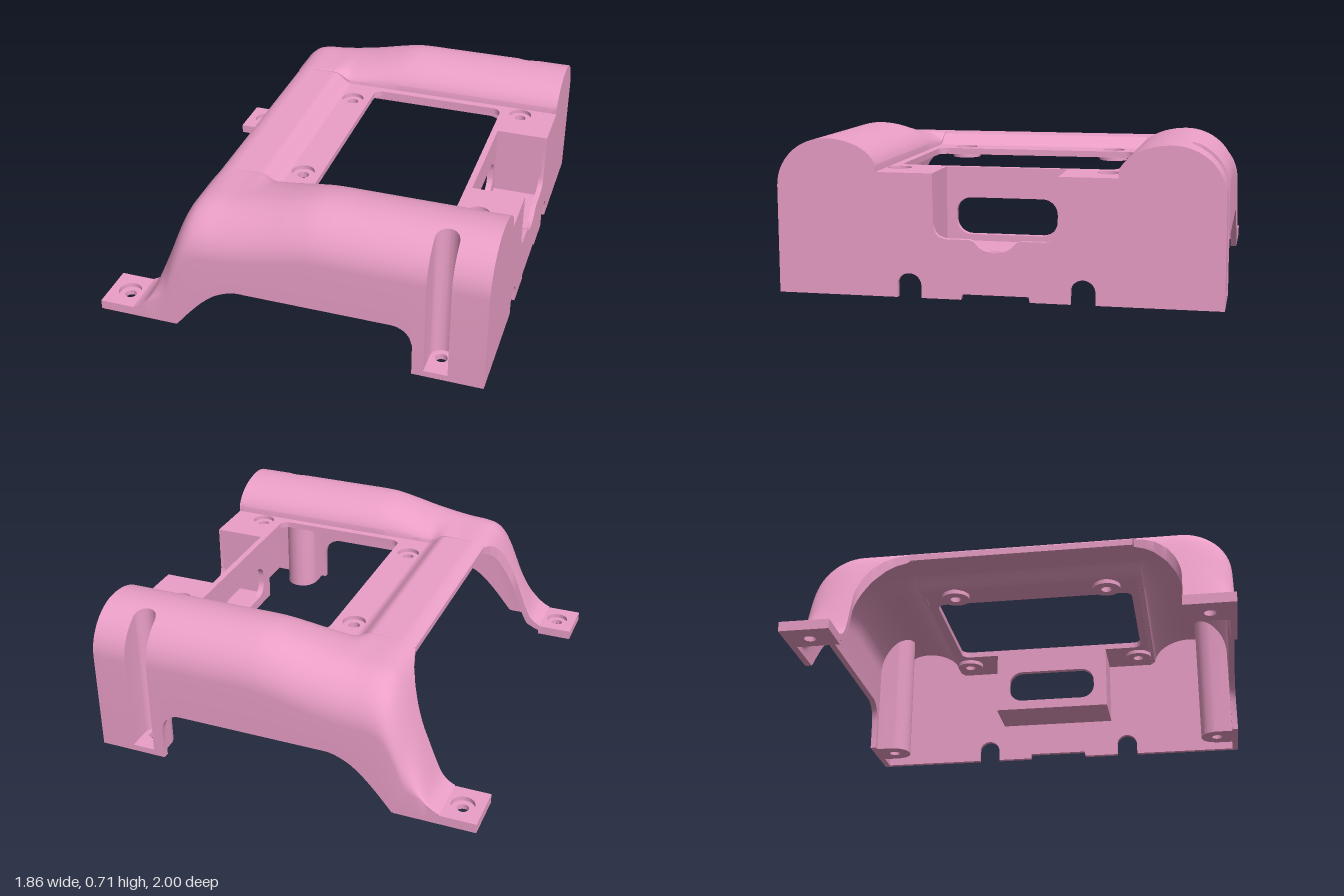
import * as THREE from 'three';
import { toCreasedNormals } from 'three/addons/utils/BufferGeometryUtils.js';

const material = new THREE.MeshStandardMaterial({ color: 0xeb9fc7, side: THREE.DoubleSide });
const DECK = 0.56, WALL = 0.03, CREST = 0.77;
const { smoothstep, lerp } = THREE.MathUtils;

// Clamped linear lookup through [x, y] pairs
const table = (pts) => (x) => {
  if (x <= pts[0][0]) return pts[0][1];
  for (let i = 1; i < pts.length; i++) {
    const [x0, y0] = pts[i - 1], [x1, y1] = pts[i];
    if (x <= x1) return lerp(y0, y1, (x - x0) / (x1 - x0));
  }
  return pts[pts.length - 1][1];
};
const smoothTable = (pts) =>
  table(new THREE.SplineCurve(pts.map((p) => new THREE.Vector2(...p))).getPoints(160).map((p) => [p.x, p.y]));

// Rail crest, deck level, lower edge and inner limit along x
const crest = smoothTable([[-0.84, 0.045], [-0.77, 0.048], [-0.72, 0.075], [-0.68, 0.135], [-0.6, 0.34], [-0.53, 0.51],
  [-0.48, 0.585], [-0.42, 0.612], [-0.31, 0.622], [-0.2, 0.638], [-0.1, 0.657], [0, 0.68], [0.1, 0.7], [0.18, 0.705], [0.27, 0.705]]);
const deckLevel = (x) => lerp(Math.min(crest(x), 0.612), DECK, smoothstep(x, -0.27, -0.18));
const lowerCurve = smoothTable([[-0.54, 0], [-0.47, 0.085], [-0.4, 0.16], [-0.33, 0.215], [-0.25, 0.247], [-0.18, 0.25]]);
const lowerEdge = (x) => {
  if (x > 0.6) return 0;
  return x > 0.5 ? 0.15 + Math.sqrt(Math.max(0, 0.01 - (x - 0.5) ** 2)) : lowerCurve(x);
};
const innerLimit = table([[-0.6, 0.77], [-0.57, 0.75], [-0.54, 0.71], [-0.51, 0.645], [-0.49, 0.585], [-0.48, 0.54]]);

// Outer limit of the rail, dented by the round side groove
const outerLimit = (x, r, limit) => {
  const d = Math.abs(x - 0.71);
  return d < r ? 0.89 - Math.sqrt(r * r - d * d) : limit;
};

// Height of the rail skin at (x, z); inset gives its inside face
function railHeight(x, z, inset = 0) {
  const slope = (crest(x + 0.01) - crest(x - 0.01)) / 0.02;
  const drop = inset * Math.sqrt(1 + slope * slope);
  const top = crest(x);
  const base = z > CREST ? top - 0.22 * smoothstep(top, 0.05, 0.4) : deckLevel(x);
  const t = Math.min(1, Math.abs(z - CREST) / ((z > CREST ? 0.23 : 0.235) - inset));
  return base + (top - base) * Math.sqrt(1 - t * t) - drop;
}

// Closed cross-section of the rail at x
function railSection(x) {
  const skin = (inset, r, limit) => {
    const zo = outerLimit(x, r, limit), zi = innerLimit(x), out = [[zo, lowerEdge(x)]];
    for (let i = 0; i <= 28; i++) {
      const a = (i / 28) * Math.PI;
      const raw = CREST + Math.cos(a) * ((i < 14 ? 0.23 : 0.235) - inset);
      const z = i === 28 ? zi : Math.max(zi, Math.min(zo, raw));
      out.push([z, Math.max(lowerEdge(x), 0, railHeight(x, z, inset))]);
    }
    return out;
  };
  return [...skin(0, 0.055, 1), ...skin(WALL, 0.055 + WALL, 1 - WALL).reverse()];
}

function railGeometry(side) {
  const xs = [];
  for (let i = 0; i <= 120; i++) xs.push(lerp(-0.76, 0.906, i / 120));
  for (const x of [0.6, 0.655, 0.765, 0.625, 0.795]) xs.push(x - 0.0003, x + 0.0003);
  for (let i = 0; i <= 12; i++) xs.push(0.71 - 0.0545 * Math.cos((i / 12) * Math.PI));
  xs.sort((a, b) => a - b);
  const pos = [], index = [], n = railSection(0).length;
  for (const x of xs) for (const [z, y] of railSection(x)) pos.push(x, y, z * side);
  for (let i = 0; i < xs.length - 1; i++) for (let j = 0; j < n; j++) {
    const a = i * n + j, b = i * n + (j + 1) % n, c = b + n, d = a + n;
    if (side > 0) index.push(a, d, c, a, c, b);
    else index.push(a, c, d, a, b, c);
  }
  const g = new THREE.BufferGeometry();
  g.setAttribute('position', new THREE.Float32BufferAttribute(pos, 3));
  g.setIndex(index);
  return toCreasedNormals(g, 0.6);
}

// Shape helpers
const polygon = (pts) => new THREE.Shape(pts.map((p) => new THREE.Vector2(...p)));
const rect = (x0, y0, x1, y1) => polygon([[x0, y0], [x1, y0], [x1, y1], [x0, y1]]);
const circle = (x, y, r) => new THREE.Path().absarc(x, y, r, 0, Math.PI * 2);
function roundRect(x0, y0, x1, y1, r) {
  const p = new THREE.Path();
  p.absarc(x1 - r, y1 - r, r, 0, Math.PI / 2);
  p.absarc(x0 + r, y1 - r, r, Math.PI / 2, Math.PI);
  p.absarc(x0 + r, y0 + r, r, Math.PI, Math.PI * 1.5);
  p.absarc(x1 - r, y0 + r, r, Math.PI * 1.5, Math.PI * 2);
  return p;
}
const extrude = (shape, depth) =>
  toCreasedNormals(new THREE.ExtrudeGeometry(shape, { depth, bevelEnabled: false, curveSegments: 16 }), 0.6);
// Horizontal plate drawn in (x, -z); upright plate drawn in (-z, y)
const flat = (shape, y0, y1) => extrude(shape, y1 - y0).rotateX(-Math.PI / 2).translate(0, y0, 0);
const upright = (shape, x0, x1) => extrude(shape, x1 - x0).rotateY(Math.PI / 2).translate(x0, 0, 0);

export function createModel() {
  const group = new THREE.Group();
  const add = (name, geometry) => {
    const mesh = new THREE.Mesh(geometry, material);
    mesh.name = name;
    group.add(mesh);
  };

  for (const s of [1, -1]) {
    const side = s > 0 ? 'left' : 'right';
    add(side + 'Rail', railGeometry(s));

    // Foot with a counterbored screw hole
    for (const [r, y0, y1] of [[0.027, 0, 0.025], [0.055, 0.025, 0.046]]) {
      const foot = rect(-0.93, Math.min(-s, -s * CREST), -0.755, Math.max(-s, -s * CREST));
      foot.holes.push(circle(-0.833, -s * 0.885, r));
      add(side + 'Foot', flat(foot, y0, y1));
    }

    // Floor of the side groove
    const floor = rect(0.65, Math.min(-s, -s * 0.83), 0.77, Math.max(-s, -s * 0.83));
    floor.holes.push(circle(0.71, -s * 0.89, 0.028));
    add(side + 'GrooveFloor', flat(floor, 0, 0.03));

    // Bosses under the deck screw holes
    for (const [x, z] of [[-0.12, 0.385], [0.755, 0.48]]) {
      const boss = new THREE.Shape().absarc(x, -s * z, 0.07, 0, Math.PI * 2);
      boss.holes.push(circle(x, -s * z, 0.027));
      add(side + 'ScrewBoss', flat(boss, 0.51, 0.54));
    }

    // Side wall of the end pocket
    add(side + 'PocketWall', new THREE.BoxGeometry(0.25, 0.355, 0.025).translate(0.79, 0.3775, s * 0.2925));
  }

  // Deck with window, screw holes and pocket notch
  const deck = polygon([[-0.18, -0.545], [0.91, -0.545], [0.91, -0.28], [0.68, -0.28],
    [0.68, 0.28], [0.91, 0.28], [0.91, 0.545], [-0.18, 0.545]]);
  deck.holes.push(roundRect(-0.03, -0.503, 0.65, 0.503, 0.045));
  for (const s of [1, -1]) deck.holes.push(circle(-0.12, s * 0.385, 0.055), circle(0.755, s * 0.48, 0.055));
  add('deck', flat(deck, DECK - WALL, DECK));

  // Cross bridge joining the two legs
  const upper = [];
  for (let i = 0; i <= 24; i++) {
    const x = lerp(-0.48, -0.18, i / 24);
    upper.push([x, deckLevel(x)]);
  }
  const lower = upper.map(([x, y]) => [x, y - WALL]);
  add('bridge', extrude(polygon([...lower, ...upper.reverse()]), 1.09).translate(0, 0, -0.545));

  // End wall following the rail section, with cable arches and pocket notch
  const half = [];
  for (let i = 0; i <= 32; i++) {
    const a = (i / 32) * Math.PI;
    const z = Math.max(0.54, CREST + Math.cos(a) * (i < 16 ? 0.23 : 0.235));
    half.push([z, railHeight(0.93, z)]);
  }
  half.push([0.54, DECK], [0.28, DECK], [0.28, 0.33], [0.272, 0.3], [0.255, 0.28], [0.225, 0.27],
    [0.115, 0.27], [0.095, 0.262], [0.07, 0.235], [0.045, 0.222], [0, 0.215]);
  const end = new THREE.Shape();
  end.moveTo(-1, 0);
  const arch = (z) => {
    end.lineTo(z - 0.055, 0);
    end.absarc(z, 0.055, 0.055, Math.PI, 0, true);
    end.lineTo(z + 0.055, 0);
  };
  arch(-0.39);
  for (const p of [[-0.155, 0], [-0.15, 0.025], [0.15, 0.025], [0.155, 0]]) end.lineTo(...p);
  arch(0.39);
  end.lineTo(1, 0);
  for (const p of half) end.lineTo(...p);
  for (const [z, y] of half.slice(0, -1).reverse()) end.lineTo(-z, y);
  add('endWall', upright(end, 0.905, 0.93));

  // Pocket back with slot, and pocket floor
  const back = rect(-0.305, 0.2, 0.305, 0.555);
  back.holes.push(roundRect(-0.235, 0.25, 0.235, 0.42, 0.07));
  add('pocketBack', upright(back, 0.65, 0.68));
  add('pocketFloor', new THREE.BoxGeometry(0.25, 0.02, 0.6).translate(0.79, 0.21, 0));

  return group;
}
